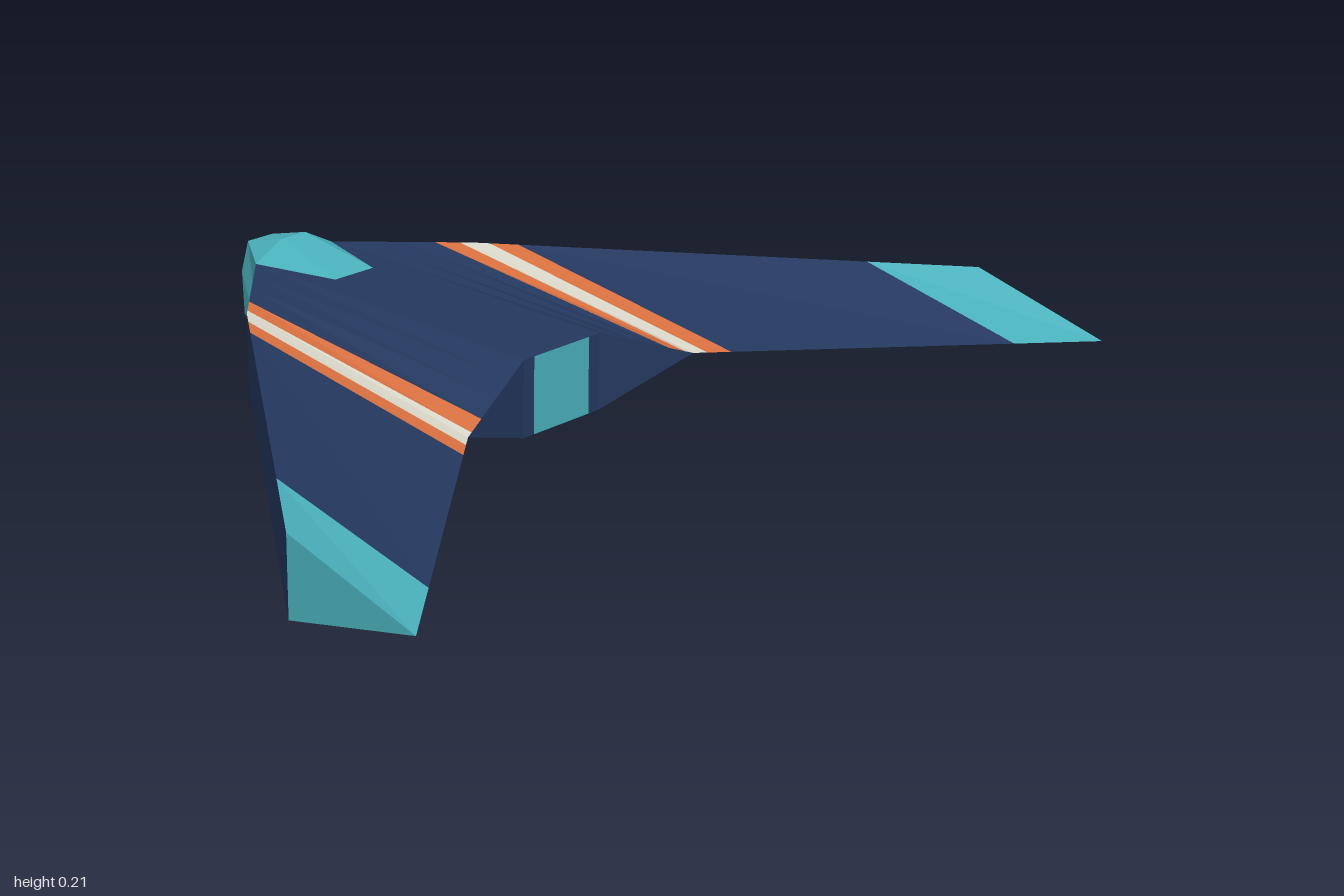
import * as THREE from 'three';

const mat = (name, color) => Object.assign(new THREE.MeshStandardMaterial({ color }), { name });

export function createModel() {
  const navy = mat('navy', 0x24385f);
  const teal = mat('teal', 0x4ab1bc);
  const orange = mat('orange', 0xd97040);
  const cream = mat('cream', 0xd8d6c8);

  const model = new THREE.Group();
  model.name = 'flyingWing';

  // Mesh made of convex polygons, each fanned into triangles; side -1 mirrors across x
  const addPart = (name, material, side, polys) => {
    const pos = [];
    for (const poly of polys) {
      for (let i = 1; i < poly.length - 1; i++) {
        const tri = [poly[0], poly[i], poly[i + 1]];
        if (side < 0) tri.reverse();
        for (const [x, y, z] of tri) pos.push(x * side, y, z);
      }
    }
    const geo = new THREE.BufferGeometry();
    geo.setAttribute('position', new THREE.Float32BufferAttribute(pos, 3));
    geo.computeVertexNormals();
    const mesh = new THREE.Mesh(geo, material);
    mesh.name = name;
    model.add(mesh);
  };

  // Wing stations: x, leading edge z, trailing edge z, trailing edge half height
  const H = 0.17;
  const stations = [
    [0, -0.66, 0.17, H / 2],
    [0.11, -0.66, 0.17, H / 2],
    [0.33, -0.43, 0.235, 0],
    [1, 0.47, 0.8, 0],
  ];
  const section = (x) => {
    let i = 0;
    while (i < stations.length - 2 && x > stations[i + 1][0]) i++;
    const a = stations[i], b = stations[i + 1];
    const t = (x - a[0]) / (b[0] - a[0]);
    const [lead, trail, half] = [1, 2, 3].map((k) => a[k] + (b[k] - a[k]) * t);
    return {
      lt: [x, H, lead], lb: [x, 0, lead],
      tt: [x, H / 2 + half, trail], tb: [x, H / 2 - half, trail],
    };
  };

  for (const side of [1, -1]) {
    const label = side > 0 ? 'left' : 'right';
    const shift = side > 0 ? 0 : 0.006;

    // Upper and lower skins, in coloured bands running along the chord
    const bands = [
      ['BodySkin', navy, [0, 0.11, 0.165, 0.22, 0.272 + shift]],
      ['InnerStripe', orange, [0.272 + shift, 0.31 + shift]],
      ['MiddleStripe', cream, [0.31 + shift, 0.33, 0.353 + shift]],
      ['OuterStripe', orange, [0.353 + shift, 0.392 + shift]],
      ['WingSkin', navy, [0.392 + shift, 0.855]],
      ['WingTip', teal, [0.855, 1]],
    ];
    for (const [name, material, xs] of bands) {
      const polys = [];
      for (let i = 0; i < xs.length - 1; i++) {
        const a = section(xs[i]), b = section(xs[i + 1]);
        polys.push([a.lt, a.tt, b.tt, b.lt], [a.lb, b.lb, b.tb, a.tb]);
      }
      if (name === 'WingTip') {
        const e = section(1);
        polys.push([e.lb, e.lt, e.tt]);
      }
      addPart(label + name, material, side, polys);
    }

    // Upright leading edge
    const [s0, s1, s2, s3, s4] = [0, 0.08, 0.11, 0.33, 1].map(section);
    addPart(label + 'LeadingEdge', navy, side,
      [[s2, s3], [s3, s4]].map(([a, b]) => [a.lt, b.lt, b.lb, a.lb]));

    // Rear wall with the exhaust panel in the middle
    const rear = (a, b) => [a.tb, b.tb, b.tt, a.tt];
    addPart(label + 'RearWall', navy, side, [rear(s1, s2), rear(s2, s3)]);
    addPart(label + 'Exhaust', teal, side, [rear(s0, s1)]);

    // Faceted nose and canopy
    const base = s2.lb, shoulder = s2.lt;
    const peak = [0.035, 0.21, -0.66], brow = [0.035, 0.178, -0.775];
    const tip = [0.035, 0.1, -0.8], chin = [0.035, 0, -0.795];
    const tail = [0.055, H, -0.46];
    const mid = ([, y, z]) => [0, y, z];
    addPart(label + 'Nose', teal, side, [
      [base, brow, shoulder], [base, tip, brow], [base, chin, tip],
      [mid(brow), brow, tip, mid(tip)],
      [mid(tip), tip, chin, mid(chin)],
    ]);
    addPart(label + 'Canopy', teal, side, [
      [shoulder, brow, peak],
      [mid(peak), peak, brow, mid(brow)],
      [mid(peak), mid(tail), tail, peak],
      [peak, tail, shoulder],
    ]);
    addPart(label + 'NoseUnderside', navy, side, [[mid(base), mid(chin), chin, base]]);
  }
  return model;
}
